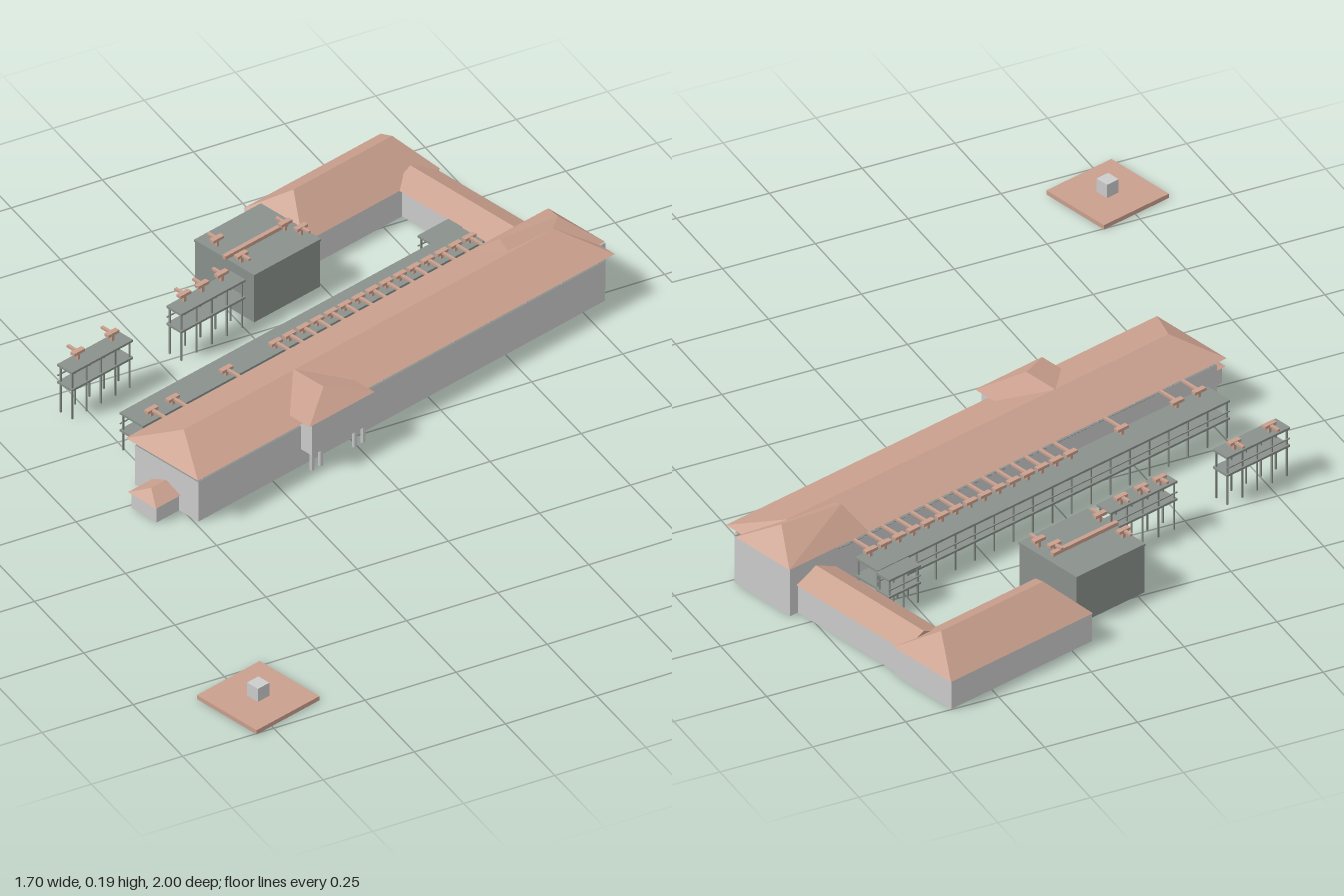
import * as THREE from 'three';

const mat = (color) => new THREE.MeshStandardMaterial({ color, side: THREE.DoubleSide, flatShading: true });
const GREY = mat(0xcccccc);
const TILE = mat(0xc99f8d);
const SLAB = mat(0x8a908c);

export function createModel() {
  const site = new THREE.Group();
  site.name = 'buildingComplex';
  // All parts share axes turned slightly from the world axes
  site.rotation.y = 0.268;

  const add = (name, geometry, material, parent = site) => {
    const mesh = new THREE.Mesh(geometry, material);
    mesh.name = name;
    parent.add(mesh);
    return mesh;
  };

  // Box given by its minimum and maximum on each axis
  const block = (name, x0, x1, y0, y1, z0, z1, material = GREY, parent = site) => {
    const g = new THREE.BoxGeometry(x1 - x0, y1 - y0, z1 - z0);
    g.translate((x0 + x1) / 2, (y0 + y1) / 2, (z0 + z1) / 2);
    return add(name, g, material, parent);
  };

  // Four open walls around a rectangle, with no floor or ceiling
  const walls = (name, x0, x1, y0, y1, z0, z1, material = GREY) => {
    const g = new THREE.BufferGeometry();
    const c = [[x0, z1], [x1, z1], [x1, z0], [x0, z0]];
    const p = [], index = [];
    c.forEach(([x, z], i) => {
      const [nx, nz] = c[(i + 1) % 4], k = i * 4;
      p.push(x, y0, z, nx, y0, nz, nx, y1, nz, x, y1, z);
      index.push(k, k + 1, k + 2, k, k + 2, k + 3);
    });
    g.setAttribute('position', new THREE.Float32BufferAttribute(p, 3));
    g.setIndex(index);
    g.computeVertexNormals();
    return add(name, g, material);
  };

  // Roof from an eave rectangle to a ridge between points a and b, each [x, z]
  const roof = (name, x0, x1, z0, z1, eave, a, b, top) => {
    const p = [
      [x0, eave, z1], [x1, eave, z1], [x1, eave, z0], [x0, eave, z0],
      [a[0], top, a[1]], [b[0], top, b[1]],
    ];
    // Slopes parallel to the ridge come first, then the two ends
    const faces = [0, 1, 5, 0, 5, 4, 2, 3, 4, 2, 4, 5, 1, 2, 5, 3, 0, 4];
    const g = new THREE.BufferGeometry();
    g.setAttribute('position', new THREE.Float32BufferAttribute(faces.flatMap((i) => p[i]), 3));
    g.computeVertexNormals();
    return add(name, g, TILE);
  };

  // Main hall
  walls('mainWalls', -0.51, 0.85, 0, 0.115, -0.215, 0.005);
  block('mainCeiling', -0.51, 0.85, 0.111, 0.115, -0.215, 0.005, SLAB);
  roof('mainRoof', -0.526, 0.868, -0.232, 0.02, 0.135, [-0.446, -0.112], [0.79, -0.112], 0.181);
  for (let i = 0; i < 12; i++) {
    const x = -0.49 + i * 0.12;
    for (const z of [-0.21, 0]) block('roofPost', x - 0.003, x + 0.003, 0.115, 0.138, z - 0.003, z + 0.003);
  }

  // Raised block where the hall meets the side wing
  walls('cornerWalls', 0.73, 0.884, 0, 0.135, -0.23, -0.03);
  roof('cornerRoof', 0.63, 0.887, -0.232, -0.035, 0.135, [0.656, -0.16], [0.824, -0.132], 0.191);

  // Entrance portico with a raised front panel on paired columns
  walls('porticoWalls', -0.166, 0.022, 0.05, 0.147, -0.005, 0.042);
  block('porticoFloor', -0.166, 0.022, 0.048, 0.052, -0.005, 0.042);
  roof('porticoRoof', -0.186, 0.031, -0.112, 0.055, 0.147, [-0.0775, -0.112], [-0.0775, -0.01], 0.182);
  for (const x of [-0.158, -0.13, -0.016, 0.012]) {
    const column = add('porticoColumn', new THREE.CylinderGeometry(0.006, 0.006, 0.05, 8), GREY);
    column.position.set(x, 0.025, 0.034);
  }

  // Small annex at the far end
  walls('annexWalls', -0.585, -0.51, 0, 0.046, -0.15, -0.062);
  roof('annexRoof', -0.592, -0.5, -0.155, -0.057, 0.046, [-0.56, -0.107], [-0.5, -0.107], 0.067);

  // Side wing with a plain pitched roof
  walls('wingWalls', 0.745, 0.858, 0, 0.08, -0.6, -0.215);
  const wing = roof('wingRoof', -0.2, 0.2, -0.064, 0.064, 0.08, [-0.2, 0], [0.2, 0], 0.11);
  wing.rotation.y = Math.PI / 2;
  wing.position.set(0.799, 0, -0.42);

  // Rear building
  walls('rearWalls', 0.414, 0.868, 0, 0.08, -0.797, -0.593);
  roof('rearRoof', 0.412, 0.871, -0.799, -0.591, 0.08, [0.482, -0.697], [0.812, -0.697], 0.152);

  // Small rooftop fitting: stem, crosspiece and a beam to one side
  const fitting = (x, y, z, reach, height = 0.025) => {
    const g = new THREE.Group();
    g.name = 'rooftopFitting';
    g.position.set(x, y, z);
    block('stem', -0.004, 0.004, 0, height, -0.004, 0.004, TILE, g);
    block('crosspiece', -0.018, 0.018, height - 0.008, height, -0.007, 0.007, TILE, g);
    block('beam', -0.004, 0.004, height - 0.007, height - 0.001,
      Math.min(0, reach), Math.max(0, reach), TILE, g);
    site.add(g);
  };

  // Open frame of posts and thin decks
  const frame = (name, x0, x1, z0, z1, levels, bays) => {
    const g = new THREE.Group();
    g.name = name;
    site.add(g);
    for (const y of levels) block('deck', x0, x1, y - 0.006, y, z0, z1, SLAB, g);
    const top = levels[levels.length - 1];
    for (let i = 0; i <= bays; i++) {
      const x = x0 + 0.006 + (x1 - x0 - 0.012) * i / bays;
      for (const z of [z0 + 0.006, z1 - 0.006]) {
        block('post', x - 0.002, x + 0.002, 0, top - 0.006, z - 0.002, z + 0.002, SLAB, g);
      }
    }
    // Hand rail along the open side
    block('rail', x0, x1, levels[0] + 0.016, levels[0] + 0.019, z0, z0 + 0.003, SLAB, g);
  };

  // Long gallery behind the hall
  frame('gallery', -0.435, 0.705, -0.347, -0.265, [0.06, 0.11], 18);
  frame('galleryLanding', 0.607, 0.71, -0.395, -0.347, [0.06, 0.108], 2);
  const galleryX = [-0.389, -0.318, -0.139];
  for (let i = 0; i < 15; i++) galleryX.push(0.026 + i * 0.0462);
  for (const x of galleryX) fitting(x, 0.11, -0.285, 0.06, 0.021);

  // Free-standing canopies
  frame('nearCanopy', -0.07, 0.145, -0.565, -0.513, [0.09, 0.14], 4);
  for (const x of [-0.025, 0.035, 0.1]) fitting(x, 0.14, -0.55, -0.03);
  frame('farCanopy', -0.432, -0.228, -0.568, -0.516, [0.09, 0.14], 4);
  for (const x of [-0.38, -0.266]) fitting(x, 0.14, -0.55, -0.035);

  // Flat-roofed service block
  walls('serviceWalls', 0.175, 0.395, 0, 0.136, -0.72, -0.514, SLAB);
  block('serviceRoof', 0.173, 0.397, 0.134, 0.14, -0.722, -0.512, SLAB);
  block('serviceRidgeBar', 0.168, 0.378, 0.14, 0.15, -0.618, -0.606, TILE);
  for (const [x, z, r] of [[0.195, -0.665, -0.03], [0.19, -0.575, 0.03], [0.375, -0.56, 0.03], [0.36, -0.6, -0.03]]) {
    fitting(x, 0.14, z, r);
  }

  // Detached square plinth with a pedestal
  block('plinth', -1.036, -0.826, 0, 0.012, 0.548, 0.756, TILE);
  block('pedestal', -0.95, -0.912, 0.012, 0.05, 0.633, 0.671);

  const model = new THREE.Group();
  model.name = 'model';
  model.add(site);
  return model;
}
